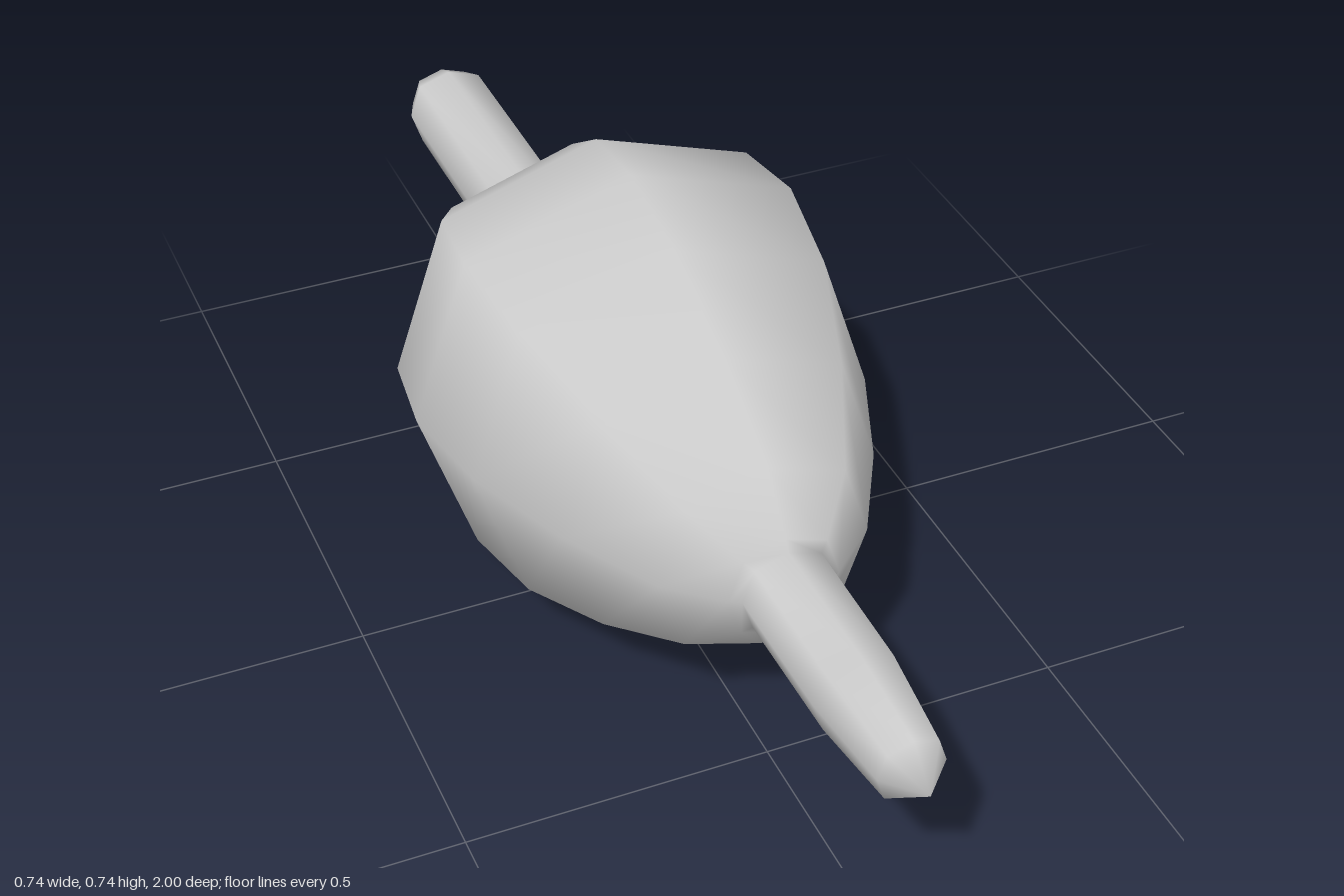
import * as THREE from 'three';
import { mergeVertices } from 'three/addons/utils/BufferGeometryUtils.js';

// Profile along the long axis, back to front: [radius, z]
const PROFILE = [
  [0, -1], [0.059, -0.984], [0.077, -0.94], [0.077, -0.412],          // rear rod
  [0.112, -0.4], [0.198, -0.37], [0.283, -0.305], [0.353, -0.198],    // bulb
  [0.37, -0.053], [0.337, 0.123], [0.262, 0.305], [0.171, 0.465], [0.09, 0.535],
  [0.072, 0.545], [0.07, 0.78], [0.053, 0.945], [0, 1],               // front spike
];
const REAR_JOINT = -0.412;
const FRONT_JOINT = 0.545;
const AXIS_HEIGHT = 0.37;
const DIAGONAL = 1.06; // the four diagonal ribs stand out slightly

// One smooth eight-sided skin, so shading flows across the joints
function makeSkin() {
  const points = PROFILE.map(([r, z]) => new THREE.Vector2(r, z));
  let geometry = new THREE.LatheGeometry(points, 8).rotateX(Math.PI / 2);
  const position = geometry.attributes.position;
  for (let i = 0; i < position.count; i++) {
    const x = position.getX(i), y = position.getY(i);
    const onDiagonal = Math.abs(x) > 1e-4 && Math.abs(y) > 1e-4;
    const s = onDiagonal ? DIAGONAL : 1;
    position.setXY(i, x * s, y * s);
  }
  geometry.deleteAttribute('uv');
  geometry.deleteAttribute('normal');
  geometry = mergeVertices(geometry, 1e-5);
  geometry.computeVertexNormals();
  return geometry;
}

// Take the faces of the skin lying between two positions on the axis
function slice(skin, from, to) {
  const index = skin.index.array, position = skin.attributes.position;
  const kept = [];
  for (let i = 0; i < index.length; i += 3) {
    const face = [index[i], index[i + 1], index[i + 2]];
    if (new Set(face).size < 3) continue;
    const z = face.reduce((sum, v) => sum + position.getZ(v), 0) / 3;
    if (z > from && z < to) kept.push(...face);
  }
  const part = skin.clone();
  part.setIndex(kept);
  return part.toNonIndexed();
}

export function createModel() {
  const group = new THREE.Group();
  group.name = 'spindleBulb';
  const material = new THREE.MeshStandardMaterial({ color: 0xcccccc });
  const skin = makeSkin();
  const parts = [
    ['rearRod', -2, REAR_JOINT],
    ['bulb', REAR_JOINT, FRONT_JOINT],
    ['frontSpike', FRONT_JOINT, 2],
  ];
  for (const [name, from, to] of parts) {
    const mesh = new THREE.Mesh(slice(skin, from, to), material);
    mesh.name = name;
    mesh.position.y = AXIS_HEIGHT;
    group.add(mesh);
  }
  return group;
}
